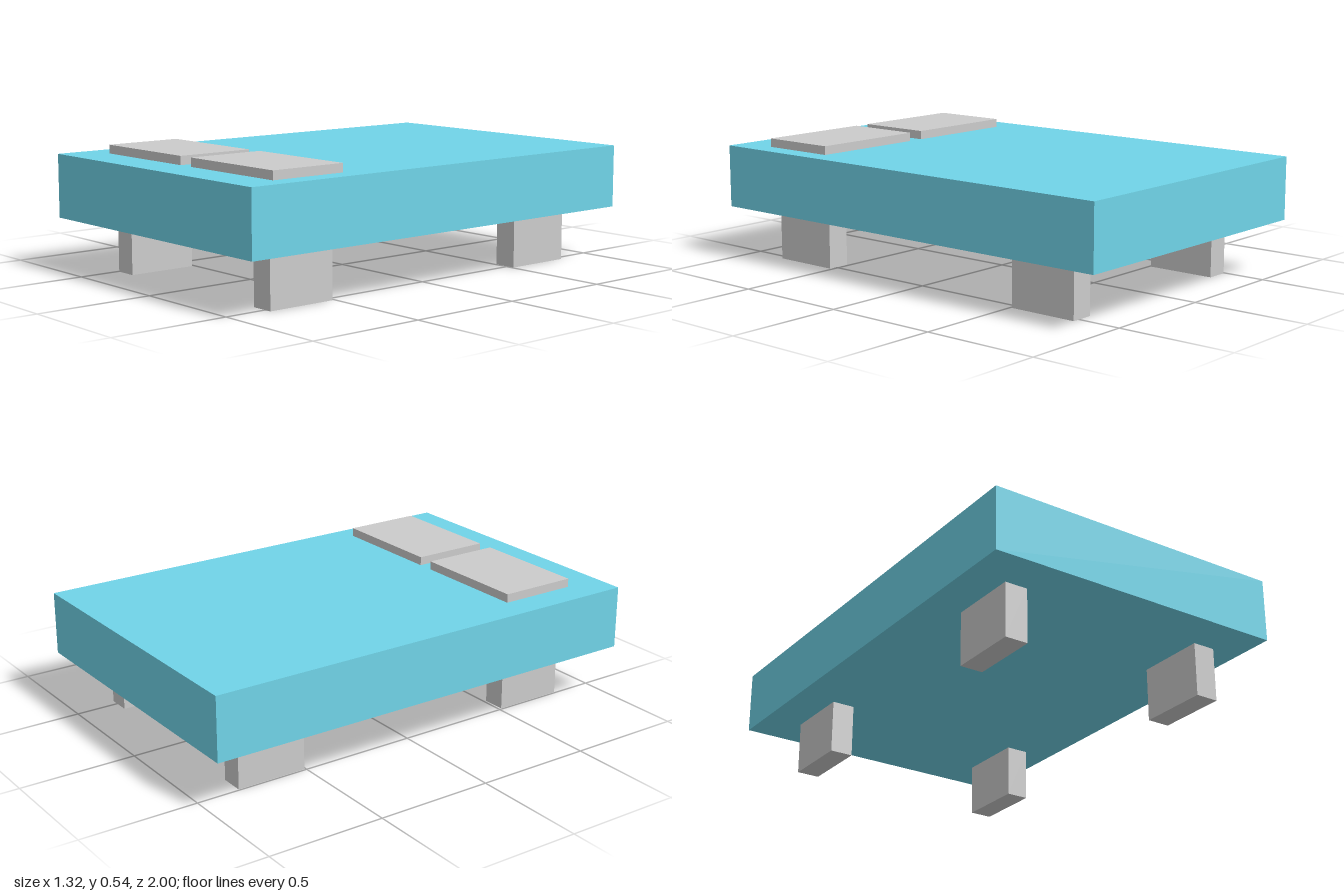
import * as THREE from 'three';

const grey = new THREE.MeshStandardMaterial({ color: 0xcccccc });
const teal = new THREE.MeshStandardMaterial({ color: 0x70d4e8 });

// Box given by its centre in x and z, its base height and its size
function block(name, material, [w, h, d], x, base, z) {
  const mesh = new THREE.Mesh(new THREE.BoxGeometry(w, h, d), material);
  mesh.name = name;
  mesh.position.set(x, base + h / 2, z);
  return mesh;
}

export function createModel() {
  const bed = new THREE.Group();
  bed.name = 'bed';

  // Mattress
  bed.add(block('mattress', teal, [1.32, 0.27, 2], 0, 0.23, 0));

  // Pillows, side by side at the front end
  for (const [side, x] of [['right', -0.273], ['left', 0.312]]) {
    bed.add(block(`${side}Pillow`, grey, [0.515, 0.038, 0.34], x, 0.499, 0.66));
  }

  // Four legs, set slightly towards the left
  for (const [side, x] of [['Right', -0.444], ['Left', 0.483]]) {
    for (const [end, z] of [['front', 0.665], ['back', -0.66]]) {
      bed.add(block(`${end}${side}Leg`, grey, [0.1, 0.23, 0.305], x, 0, z));
    }
  }

  return bed;
}
